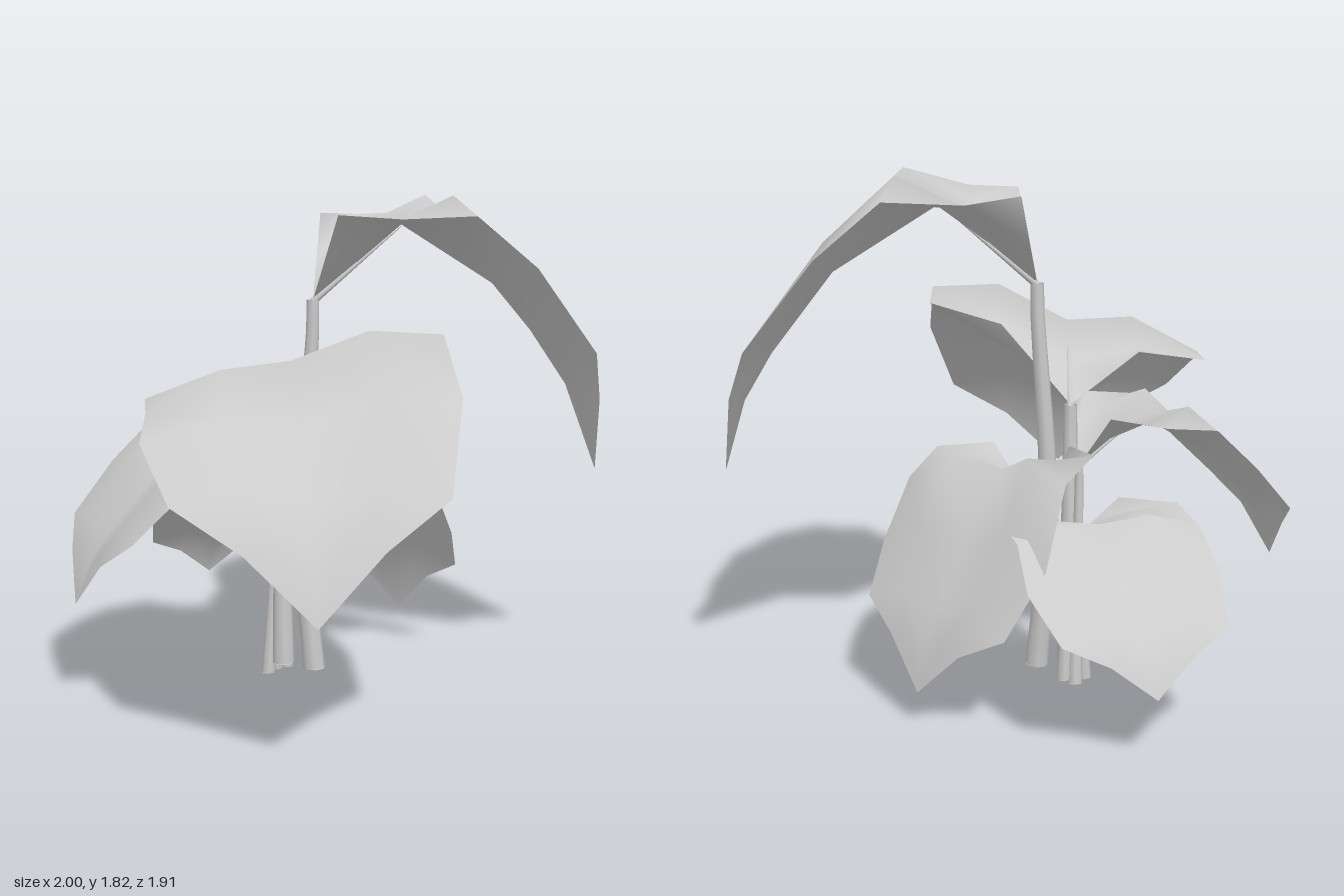
import * as THREE from 'three';
import { mergeVertices } from 'three/addons/utils/BufferGeometryUtils.js';

// Heart-shaped blade in seven rows from neck to tip; each row runs from the midrib out to both edges.
// Distances are fractions of the leaf length; heights go from 0 at the tip to 1 at the shoulder.
const ROWS = [
  { midAt: 0, edgeAt: 0.055, width: 0.22, midY: 0.68, edgeY: 1, bulge: 0, lead: 0, droop: 0, tilt: 0.4 },
  { midAt: 0.15, edgeAt: 0.22, width: 0.455, midY: 0.82, edgeY: 0.99, bulge: 0.05, lead: 0.02, droop: 0, tilt: 0.85 },
  { midAt: 0.3, edgeAt: 0.455, width: 0.455, midY: 0.96, edgeY: 1, bulge: 0.09, lead: 0.05, droop: 0.115, tilt: 1 },
  { midAt: 0.64, edgeAt: 0.645, width: 0.475, midY: 0.72, edgeY: 0.82, bulge: 0.08, lead: 0, droop: 0.25, tilt: 0.5 },
  { midAt: 0.84, edgeAt: 0.865, width: 0.4, midY: 0.43, edgeY: 0.51, bulge: 0.06, lead: 0, droop: 0.19, tilt: 0 },
  { midAt: 0.93, edgeAt: 0.945, width: 0.2, midY: 0.26, edgeY: 0.31, bulge: 0.02, lead: 0, droop: 0.1, tilt: 0 },
  { midAt: 1, edgeAt: 1, width: 0, midY: 0, edgeY: 0, bulge: 0, lead: 0, droop: 0, tilt: 0 },
];

// neck and tip lie on the ground plane (x, z); foot and knee are points on the stem; lift flattens the fold
const LEAVES = [
  { name: 'topLeaf', neck: [-0.1, -0.19], tip: [1, -0.19], width: 1.1, shoulderY: 1.76, tipY: 0.78,
    droop: 0, tilt: 0, lift: 0, foot: [-0.105, 0.04, -0.16], knee: [-0.145, 0.6, -0.19], radius: 0.042 },
  { name: 'frontLeaf', neck: [-0.22, -0.17], tip: [-0.23, 0.95], width: 1.11, shoulderY: 1.24, tipY: 0.53,
    droop: 0, tilt: 0.125, lift: 0.09, foot: [-0.22, 0.06, -0.18], knee: [-0.22, 0.5, -0.2], radius: 0.042 },
  { name: 'sideLeaf', neck: [-0.25, -0.215], tip: [-0.99, 0.06], width: 0.75, shoulderY: 1, tipY: 0.39,
    droop: 0.4, tilt: 0, lift: 0, foot: [-0.275, 0.01, -0.22], knee: [-0.25, 0.4, -0.23], radius: 0.026 },
  { name: 'backLeftLeaf', neck: [-0.1, -0.225], tip: [0.31, -0.64], width: 0.82, shoulderY: 0.89, tipY: 0.13,
    droop: 1, tilt: 0.055, lift: 0, foot: [-0.2, 0.02, -0.26], knee: [-0.2, 0.35, -0.24], radius: 0.026 },
  { name: 'backRightLeaf', neck: [-0.225, -0.28], tip: [-0.46, -0.95], width: 0.72, shoulderY: 0.7, tipY: 0.23,
    droop: 0.7, tilt: 0, lift: 0, foot: [-0.24, 0.01, -0.27], knee: [-0.24, 0.25, -0.25], radius: 0.026 },
];

const material = new THREE.MeshStandardMaterial({ color: 0xcccccc, side: THREE.DoubleSide });

// Point of a leaf in a row; across runs from -1 (one edge) over 0 (midrib) to 1 (other edge)
function bladePoint(leaf, row, across) {
  const forward = new THREE.Vector3(leaf.tip[0] - leaf.neck[0], 0, leaf.tip[1] - leaf.neck[1]);
  const sideways = new THREE.Vector3(forward.z, 0, -forward.x).normalize();
  const out = Math.abs(across);
  const arch = 4 * out * (1 - out);
  const mid = row.midY - 0.4 * leaf.droop * row.droop + leaf.lift * Math.sin(Math.PI * row.midAt);
  const edge = row.edgeY - leaf.droop * row.droop;
  const rise = THREE.MathUtils.lerp(mid, edge, out) + arch * row.bulge;
  const y = THREE.MathUtils.lerp(leaf.tipY, leaf.shoulderY, rise) + across * leaf.tilt * row.tilt;
  return new THREE.Vector3(leaf.neck[0], y, leaf.neck[1])
    .addScaledVector(forward, THREE.MathUtils.lerp(row.midAt, row.edgeAt, out) + arch * row.lead)
    .addScaledVector(sideways, across * row.width * leaf.width);
}

// Blade folded along the midrib and drooping to the tip
function bladeGeometry(leaf) {
  const columns = [-1, -0.5, 0, 0.5, 1];
  const points = ROWS.flatMap((row) => columns.map((across) => bladePoint(leaf, row, across)));
  const index = [];
  for (let i = 0; i < ROWS.length - 1; i++) {
    for (let j = 0; j < columns.length - 1; j++) {
      const a = i * columns.length + j, b = a + columns.length;
      index.push(a, b, b + 1, a, b + 1, a + 1);
    }
  }
  const geometry = new THREE.BufferGeometry().setFromPoints(points);
  geometry.setIndex(index);
  const merged = mergeVertices(geometry);
  merged.computeVertexNormals();
  return merged;
}

// Tube that thins evenly from its first to its last point
function taperedTube(points, startRadius, endRadius) {
  const curve = new THREE.CatmullRomCurve3(points);
  const rows = 12, sides = 8;
  const geometry = new THREE.TubeGeometry(curve, rows, 1, sides);
  const position = geometry.attributes.position;
  const v = new THREE.Vector3();
  for (let i = 0; i < position.count; i++) {
    const t = Math.floor(i / (sides + 1)) / rows;
    const centre = curve.getPointAt(t);
    v.fromBufferAttribute(position, i).sub(centre);
    v.multiplyScalar(THREE.MathUtils.lerp(startRadius, endRadius, t)).add(centre);
    position.setXYZ(i, v.x, v.y, v.z);
  }
  return geometry;
}

export function createModel() {
  const model = new THREE.Group();
  model.name = 'plant';
  for (const leaf of LEAVES) {
    const group = new THREE.Group();
    group.name = leaf.name;
    const add = (name, geometry) => {
      const mesh = new THREE.Mesh(geometry, material);
      mesh.name = name;
      group.add(mesh);
      return mesh;
    };
    add('blade', bladeGeometry(leaf));

    // Stem up to the neck, then a thin rib under the blade
    const neck = bladePoint(leaf, ROWS[0], 0);
    const foot = new THREE.Vector3(...leaf.foot);
    const knee = new THREE.Vector3(...leaf.knee);
    const topRadius = leaf.radius * 0.55;
    add('stem', taperedTube([foot, knee, neck.clone().setY(neck.y - 0.08), neck], leaf.radius, topRadius));
    const ribPoints = [0, 1, 2].map((i) => bladePoint(leaf, ROWS[i], 0));
    ribPoints.forEach((p) => { p.y -= 0.006; });
    add('rib', taperedTube(ribPoints, topRadius * 0.6, 0.002));

    // Cut end closing the foot of the stem
    const end = add('stemEnd', new THREE.CircleGeometry(leaf.radius, 8));
    end.rotation.x = Math.PI / 2;
    end.position.copy(foot);
    model.add(group);
  }
  return model;
}
